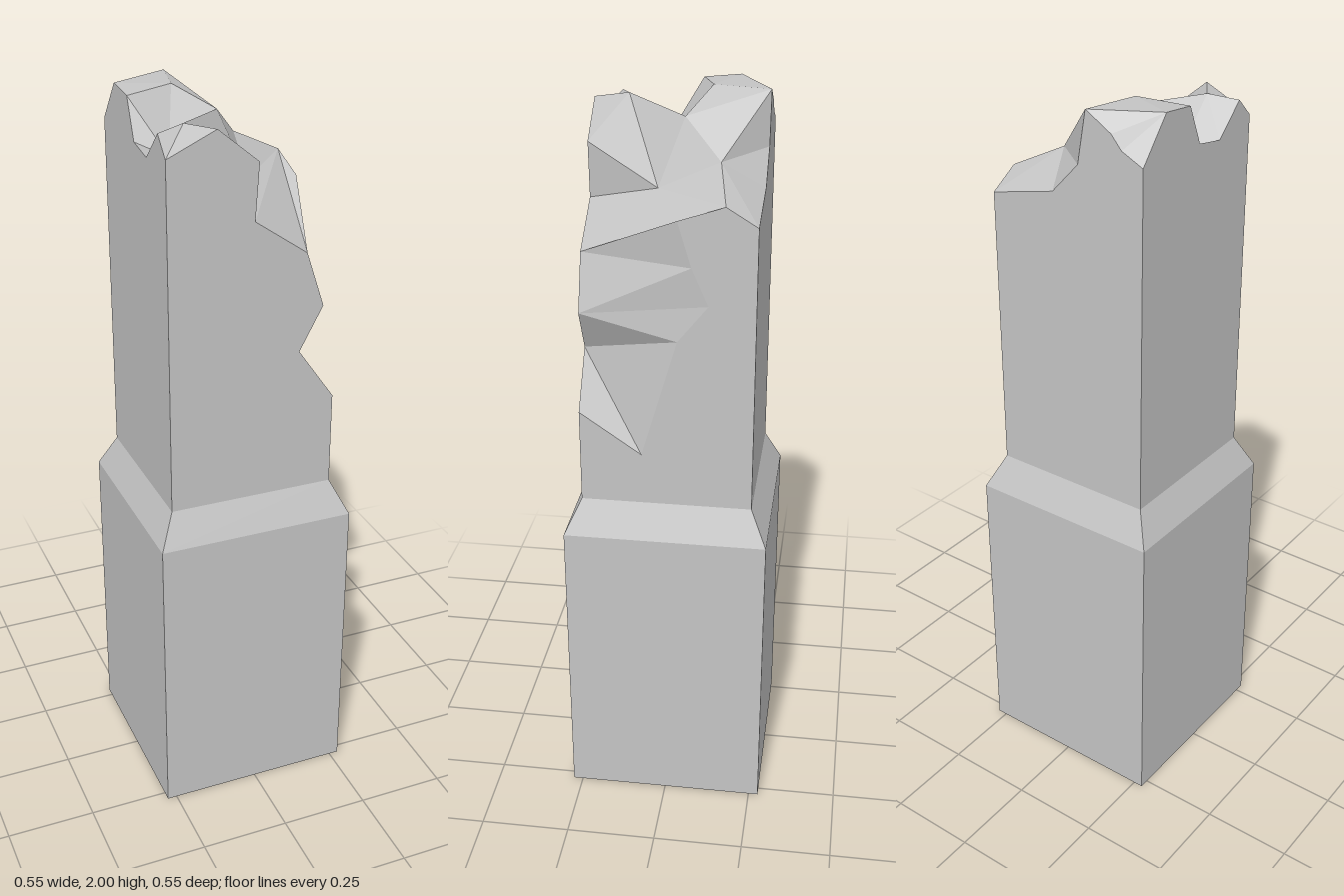
import * as THREE from 'three';

const W = 0.232; // half width of the shaft
const B = 0.277; // half width of the base
const SHOULDER = 0.85, SHAFT = 0.945;

// Corners of the broken top
const P = {
  // front rim, left to right and down the chipped edge
  A: [-W, 1.9, W], f1: [-0.1, 1.96, W], f2: [0.01, 1.87, W], f3: [0, 1.72, W],
  f4: [0.145, 1.62, W], f5: [0.195, 1.47, W], f6: [0.13, 1.35, W], f7: [W, 1.205, W],
  // rim of the +x side, from the chip to the back
  r6: [W, 1.09, 0.066], r5: [W, 1.42, -0.03], r4: [W, 1.52, -0.11],
  r3: [W, 1.62, -0.066], r2: [W, 1.74, -0.03], r1: [W, 1.78, -0.15], C: [W, 1.73, -W],
  // back rim
  k2: [0.04, 1.775, -W], k1: [-0.04, 1.86, -W], a: [-0.065, 2, -W],
  m2: [-0.14, 1.955, -W], m1: [-0.17, 1.92, -W], D: [-W, 1.89, -W],
  // rim of the -x side
  d: [-W, 2, -0.14], c: [-W, 1.99, -0.04], l1: [-W, 1.885, 0.005],
  l2: [-W, 1.87, 0.095], l3: [-W, 1.95, 0.18],
  // inner points
  b: [-0.1, 2, -0.08], e: [0, 1.94, -0.02], f: [0.088, 1.85, -0.122],
  g: [0.063, 1.77, 0.042], h: [-0.155, 1.85, 0.045], i: [-0.155, 1.96, 0.15],
};

const TOP_FACES = `f1 i A, A i l3, l3 i l2, l2 i h, l2 h l1, l1 h c, c h b, b h e, h i e,
  i g e, i f2 g, i f1 f2, c b d, d b a, b a e, a e f, e g f, g f2 f3, f g r1, g f3 r1,
  f3 f4 r1, f4 r2 r1, f r1 C, f C k2, f k2 k1, f k1 a, d a m2, d m2 m1, d m1 D`;
const CHIP_FACES = 'f4 r3 r2, f4 f5 r3, f5 r4 r3, f5 r5 r4, f5 f6 r5, f6 r6 r5, f6 f7 r6';

// Triangles between named points, each turned away from the core of the shaft
function facets(list) {
  const core = new THREE.Vector3(-0.08, 1.3, -0.06);
  const out = [];
  for (const face of list.split(',')) {
    const t = face.trim().split(' ').map((k) => new THREE.Vector3(...P[k]));
    const n = new THREE.Vector3().crossVectors(t[1].clone().sub(t[0]), t[2].clone().sub(t[0]));
    if (n.dot(t[0].clone().sub(core)) < 0) t.reverse();
    out.push(...t);
  }
  const geo = new THREE.BufferGeometry().setFromPoints(out);
  geo.computeVertexNormals();
  return geo;
}

// Flat shaft wall under a ragged rim, turned to its side
function wall(rim, angle) {
  const axis = new THREE.Vector3(0, 1, 0);
  const pts = rim.split(' ').map((k) => {
    const v = new THREE.Vector3(...P[k]).applyAxisAngle(axis, -angle);
    return new THREE.Vector2(v.x, v.y);
  });
  pts.push(new THREE.Vector2(W, SHAFT), new THREE.Vector2(-W, SHAFT));
  return new THREE.ShapeGeometry(new THREE.Shape(pts)).translate(0, 0, W).rotateY(angle);
}

// Open square tube with tapering sides
function squareTube(top, bottom, y0, y1) {
  const s = Math.SQRT2;
  const geo = new THREE.CylinderGeometry(top * s, bottom * s, y1 - y0, 4, 1, true)
    .rotateY(Math.PI / 4).translate(0, (y0 + y1) / 2, 0).toNonIndexed();
  geo.computeVertexNormals();
  return geo;
}

export function createModel() {
  const group = new THREE.Group();
  group.name = 'brokenPillar';
  const stone = new THREE.MeshStandardMaterial({
    color: 0xc4c4c4, flatShading: true, side: THREE.DoubleSide,
  });
  stone.name = 'grey stone';
  const add = (name, geo) => {
    const mesh = new THREE.Mesh(geo, stone);
    mesh.name = name;
    group.add(mesh);
  };

  // Base, open underneath, and its sloping shoulder
  add('base', squareTube(B, B, 0, SHOULDER));
  add('shoulder', squareTube(W, B, SHOULDER, SHAFT));

  // Shaft walls
  const q = Math.PI / 2;
  add('frontWall', wall('A f1 f2 f3 f4 f5 f6 f7', 0));
  add('rightWall', wall('f7 r6 r5 r4 r3 r2 r1 C', q));
  add('backWall', wall('C k2 k1 a m2 m1 D', 2 * q));
  add('leftWall', wall('D d c l1 l2 l3 A', 3 * q));

  // Broken surfaces
  add('brokenTop', facets(TOP_FACES));
  add('chippedCorner', facets(CHIP_FACES));
  return group;
}
